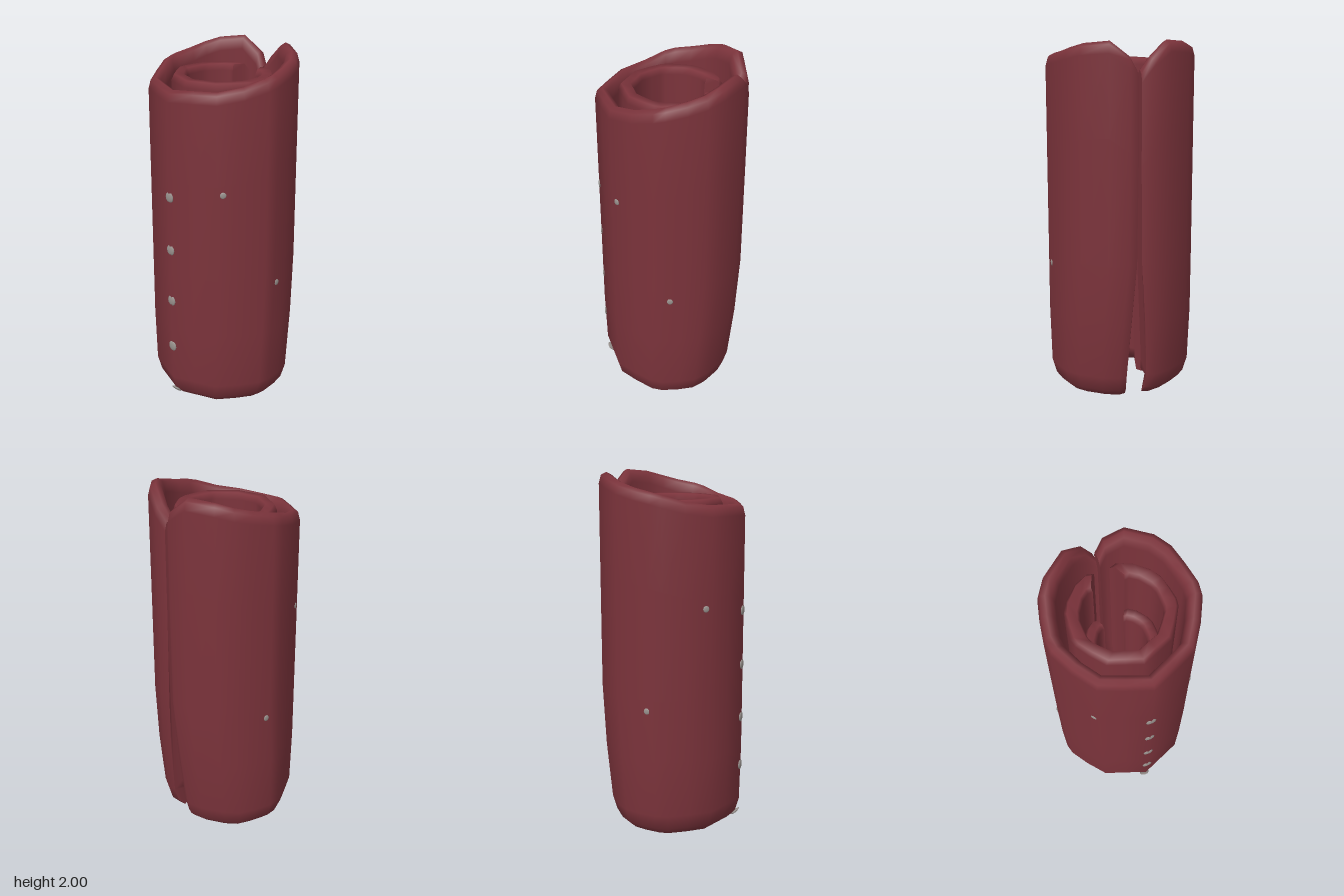
import * as THREE from 'three';

const fabric = new THREE.MeshStandardMaterial({ color: 0x7b333b });
fabric.name = 'maroon fabric';
const metal = new THREE.MeshStandardMaterial({ color: 0x99928e });
metal.name = 'grey studs';

// Half outline seen from above, front to back slit: x, z, height of the rim.
const half = [
  [0, 0.405, 1.835], [0.13, 0.355, 1.84], [0.26, 0.3, 1.845], [0.345, 0.18, 1.865],
  [0.405, 0.065, 1.9], [0.413, 0, 1.915], [0.39, -0.11, 1.935], [0.36, -0.21, 1.96],
  [0.3, -0.29, 1.985], [0.17, -0.38, 2.0], [0.06, -0.408, 1.92], [0.008, -0.385, 1.845],
];
const stations = [...half.slice(1).reverse().map(([x, z, t]) => [-x, z, t]), ...half]
  .map(([x, z, top]) => ({ angle: Math.atan2(x, z), radius: Math.hypot(x, z), top }));

// Closed profiles: fraction of the radius, height, and 1 if measured from the rim.
const foldedProfile = [
  [0.9, 0, 1], [0.97, -0.015, 1], [1, -0.06, 1], [1, -0.5, 1], [1, 0.8], [1, 0.45],
  [0.98, 0.13], [0.92, 0.045], [0.8, 0], [0.62, 0], [0.54, 0.05], [0.5, 0.15],
  [0.5, 0.8], [0.5, 1.83], [0.53, 1.865], [0.65, 1.865], [0.69, 1.83], [0.69, 0.8],
  [0.69, 0.2], [0.715, 0.14], [0.765, 0.14], [0.79, 0.2], [0.79, 0.8], [0.79, -0.07, 1], [0.83, -0.015, 1],
];
const liningProfile = [
  [0.45, 1.5], [0.49, 1.46], [0.49, 0.12], [0.46, 0.06], [0.36, 0.06], [0.32, 0.12], [0.32, 1.46], [0.36, 1.5],
];

const smooth = THREE.MathUtils.smoothstep;

// Place a profile point; the slit widens toward the bottom and the inner layers.
function place(s, [k, h, fromRim]) {
  const y = fromRim ? s.top + h : h;
  const low = 1 - smooth(y, 0, 1);
  const angle = s.angle * (1 - 0.05 * low - 0.14 * (1 - smooth(k, 0.52, 0.79)));
  const back = smooth(-Math.cos(s.angle), 0.3, 1);
  const r = s.radius * k * (1 - 0.1 * back * (1 - smooth(y, 0, 0.8)));
  return [Math.sin(angle) * r, y, Math.cos(angle) * r];
}

// Sweep a closed profile around the outline and cap both ends.
function sweep(name, profile) {
  const positions = [], index = [];
  const n = profile.length, last = stations.length - 1;
  for (const s of stations) for (const p of profile) positions.push(...place(s, p));
  for (let i = 0; i < last; i++) {
    for (let j = 0; j < n; j++) {
      const a = i * n + j, c = i * n + (j + 1) % n;
      index.push(a, c, a + n, a + n, c, c + n);
    }
  }
  for (const end of [0, last]) {
    const base = positions.length / 3;
    const flat = profile.map(([k, h, rim]) => new THREE.Vector2(k, rim ? stations[end].top + h : h));
    for (const p of profile) positions.push(...place(stations[end], p));
    for (const [a, b, c] of THREE.ShapeUtils.triangulateShape(flat, [])) {
      const ccw = THREE.ShapeUtils.area([flat[a], flat[b], flat[c]]) > 0;
      if (ccw === (end === 0)) index.push(base + a, base + b, base + c);
      else index.push(base + a, base + c, base + b);
    }
  }
  const geometry = new THREE.BufferGeometry();
  geometry.setAttribute('position', new THREE.Float32BufferAttribute(positions, 3));
  geometry.setIndex(index);
  geometry.computeVertexNormals();
  const mesh = new THREE.Mesh(geometry, fabric);
  mesh.name = name;
  return mesh;
}

// Flattened stud facing the given horizontal direction.
function stud(name, x, y, z, size, turn = 0, tilt = 0) {
  const mesh = new THREE.Mesh(new THREE.SphereGeometry(size, 10, 6), metal);
  mesh.name = name;
  mesh.scale.z = 0.25;
  mesh.position.set(x, y, z);
  mesh.rotation.set(tilt, turn, 0, 'YXZ');
  return mesh;
}

export function createModel() {
  const group = new THREE.Group();
  group.name = 'foldedCuff';
  group.add(sweep('foldedShell', foldedProfile), sweep('innerLining', liningProfile));

  // Front row of studs
  for (const y of [0.34, 0.63, 0.94, 1.25]) group.add(stud('frontStud', 0, y, 0.4, 0.03));
  group.add(stud('bottomStud', 0, 0.045, 0.375, 0.03, 0, 0.8));

  // Small studs on both flanks
  for (const side of [-1, 1]) {
    group.add(stud('flankStud', side * 0.28, 1.3, 0.273, 0.018, side * 0.9));
    group.add(stud('sideStud', side * 0.409, 0.74, -0.02, 0.018, side * Math.PI / 2));
  }
  return group;
}
